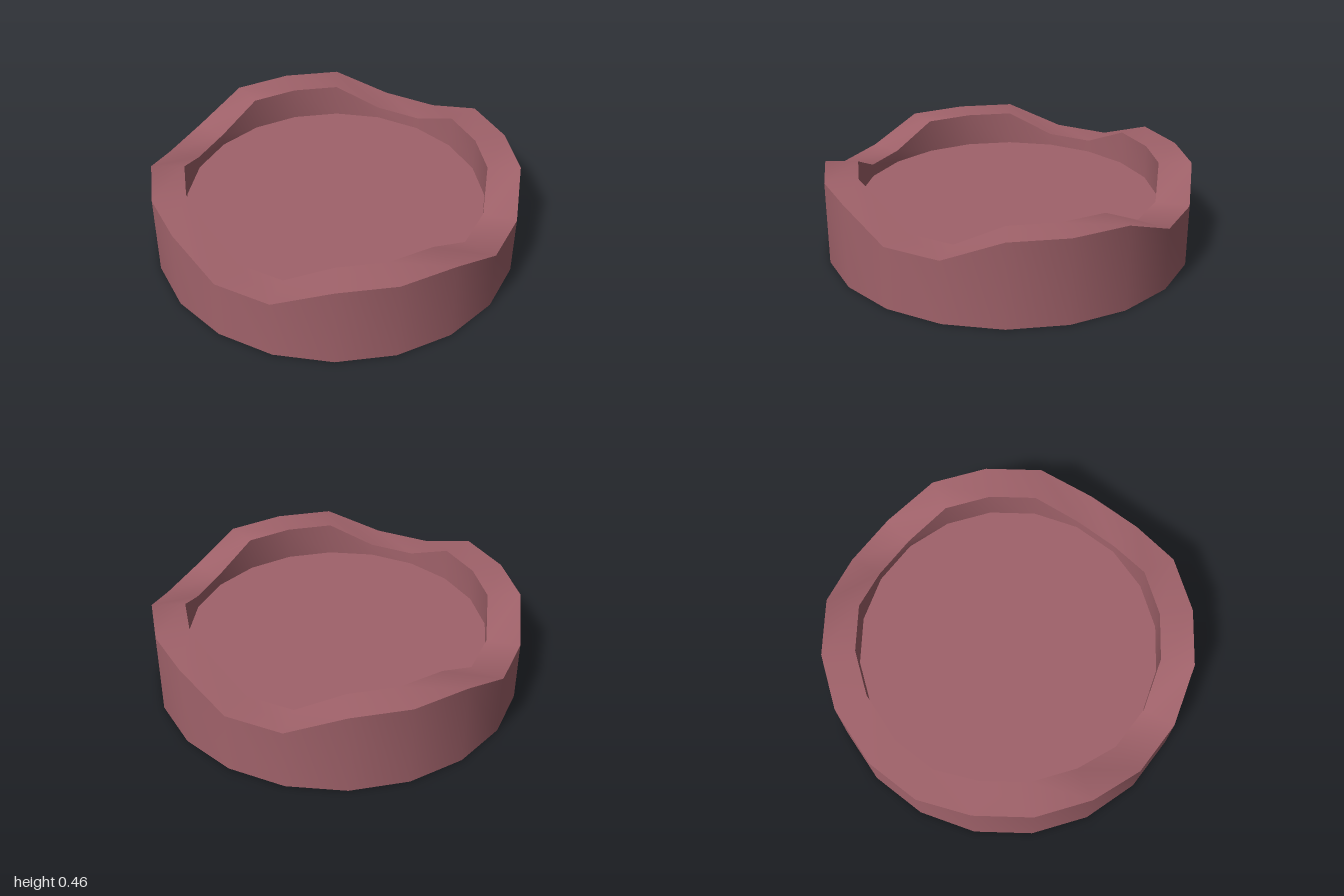
import * as THREE from 'three';

const SIDES = 20, OUTER = 1, INNER = 0.82, FLOOR = 0.27, LOW = 0.34, HIGH = 0.46;

// Rim height at each corner: two low corners, then three high, four times around
const rimHeight = i => (i % 5 === 0 || i % 5 === 4 ? LOW : HIGH);

// Closed ring of corners, with a height for each
const ring = (radius, height) => Array.from({ length: SIDES }, (_, i) => {
  const t = (i / SIDES) * Math.PI * 2;
  return [Math.cos(t) * radius, height(i), Math.sin(t) * radius];
});

// Smooth band joining two rings
function band(a, b) {
  const index = [];
  for (let i = 0; i < SIDES; i++) {
    const j = (i + 1) % SIDES;
    index.push(i, SIDES + i, SIDES + j, i, SIDES + j, j);
  }
  const geometry = new THREE.BufferGeometry();
  geometry.setAttribute('position', new THREE.Float32BufferAttribute([...a, ...b].flat(), 3));
  geometry.setIndex(index);
  geometry.computeVertexNormals();
  return geometry;
}

export function createModel() {
  const model = new THREE.Group();
  model.name = 'scallopedDish';
  const material = new THREE.MeshStandardMaterial({ color: 0xa0626a });
  const add = (name, geometry) => {
    const mesh = new THREE.Mesh(geometry, material);
    mesh.name = name;
    model.add(mesh);
  };

  const base = ring(OUTER, () => 0);
  const outerRim = ring(OUTER, rimHeight);
  const innerRim = ring(INNER, rimHeight);
  const floorEdge = ring(INNER, () => FLOOR);

  // Walls and wavy rim
  add('outerWall', band(base, outerRim));
  add('rim', band(outerRim, innerRim));
  add('innerWall', band(innerRim, floorEdge));

  // Sunken floor and underside
  add('floor', new THREE.CircleGeometry(INNER, SIDES).rotateX(-Math.PI / 2).translate(0, FLOOR, 0));
  add('underside', new THREE.CircleGeometry(OUTER, SIDES).rotateX(Math.PI / 2));

  return model;
}
